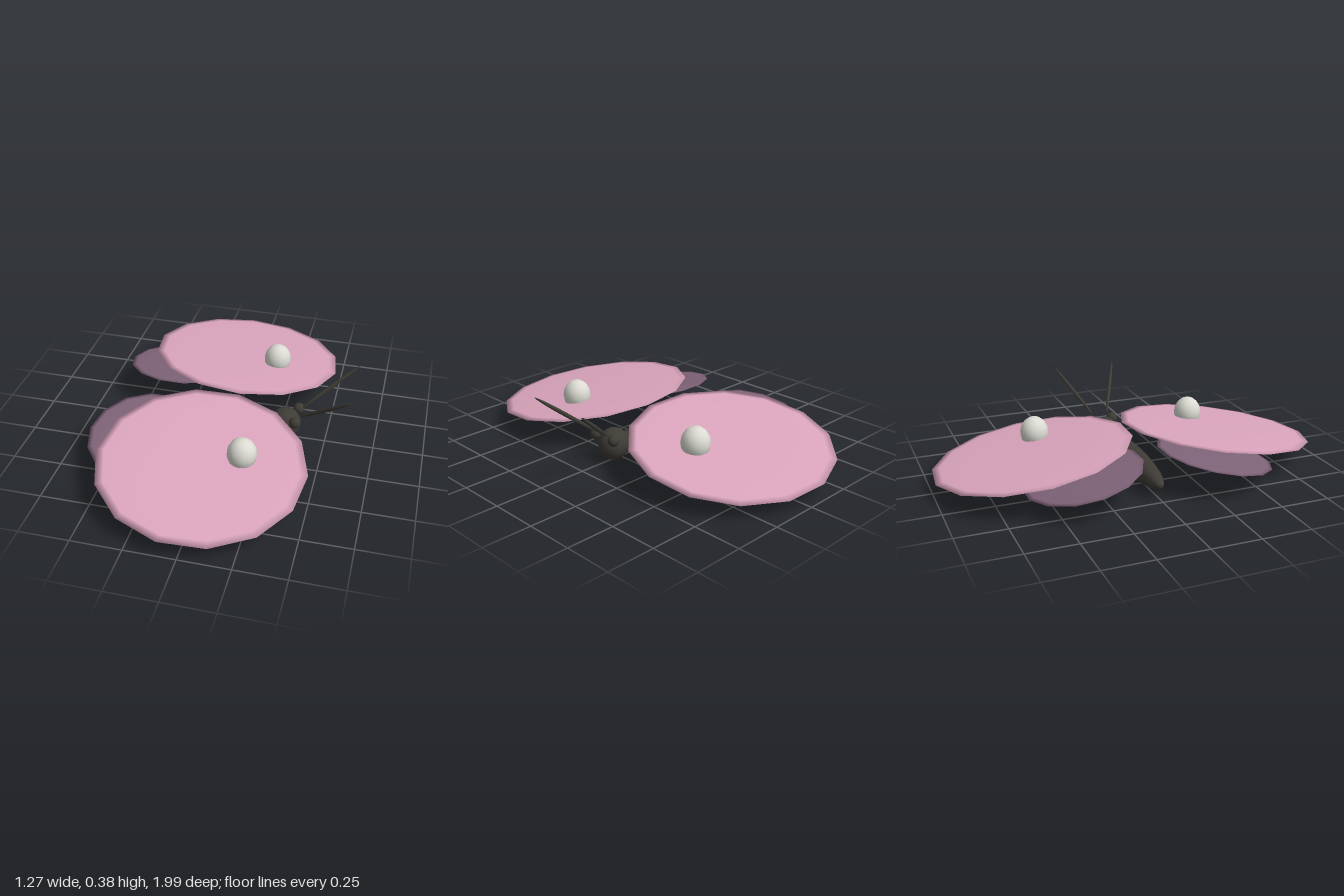
import * as THREE from 'three';

const paint = (color) => new THREE.MeshStandardMaterial({ color });
const dark = paint(0x3f3c36);
const pink = paint(0xdca6be);
const purple = paint(0x806479);
const pale = paint(0xdcdcd4);

// Low-poly ellipsoid with smooth normals
function ellipsoid(name, material, [x, y, z], [rx, ry, rz], segments = 14, rings = 8) {
  const geometry = new THREE.SphereGeometry(1, segments, rings);
  geometry.scale(rx, ry, rz);
  const mesh = new THREE.Mesh(geometry, material);
  mesh.name = name;
  mesh.position.set(x, y, z);
  return mesh;
}

export function createModel() {
  const model = new THREE.Group();
  model.name = 'butterfly';

  // Body lies along x, with the head at +x
  const body = ellipsoid('body', dark, [-0.08, 0.072, 0], [0.07, 0.4, 0.07], 16, 16);
  body.rotation.z = -Math.PI / 2;
  model.add(body);
  model.add(ellipsoid('head', dark, [0.292, 0.083, 0], [0.08, 0.083, 0.077], 16, 12));

  for (const side of [1, -1]) {
    const half = new THREE.Group();
    half.name = side > 0 ? 'frontSide' : 'backSide';

    // Wings: flattened discs drooping outwards
    const foreWing = ellipsoid('foreWing', pink, [-0.022, 0.15, side * 0.5], [0.51, 0.012, 0.505]);
    foreWing.rotation.set(side * 0.15, side * 0.087, -0.06);
    const hindWing = ellipsoid('hindWing', purple, [-0.34, 0.135, side * 0.345], [0.3, 0.01, 0.295]);
    hindWing.rotation.set(side * 0.2, 0, 0);
    half.add(foreWing, hindWing);

    // Pale knob set through the fore wing
    half.add(ellipsoid('wingKnob', pale, [0.162, 0.187, side * 0.435], [0.073, 0.083, 0.073], 16, 8));

    half.add(ellipsoid('eye', dark, [0.35, 0.136, side * 0.064], [0.03, 0.03, 0.03], 12, 8));

    // Antenna: slim spindle pointed at both ends
    const start = new THREE.Vector3(0.37, 0.16, side * 0.04);
    const end = new THREE.Vector3(0.635, 0.375, side * 0.173);
    const middle = start.clone().lerp(end, 0.5);
    const antenna = ellipsoid('antenna', dark, middle.toArray(), [0.011, start.distanceTo(end) / 2, 0.011], 8, 8);
    antenna.quaternion.setFromUnitVectors(new THREE.Vector3(0, 1, 0), end.clone().sub(start).normalize());
    half.add(antenna);

    model.add(half);
  }
  return model;
}
